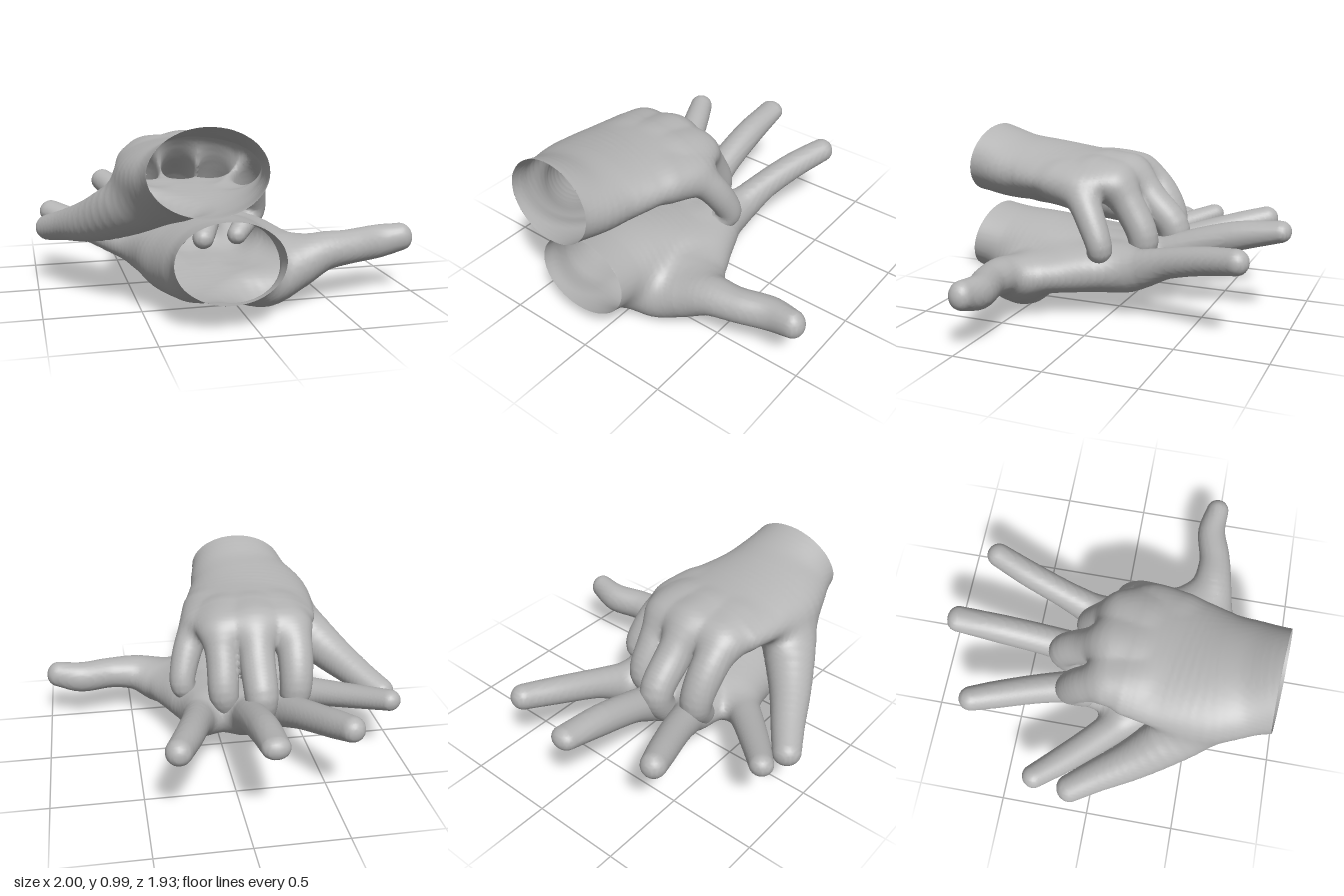
import * as THREE from 'three';

const skin = new THREE.MeshStandardMaterial({ color: 0xb4b4b4, side: THREE.DoubleSide });
skin.name = 'plain grey skin';

const X = new THREE.Vector3(1, 0, 0);
const Z = new THREE.Vector3(0, 0, 1);
const STEP = 0.016;

// Distance to a tapering limb through stations [x, y, z, half width, half height];
// "side" is the direction of its width.
function limb(stations, side = X) {
  const path = new THREE.CatmullRomCurve3(stations.map(s => new THREE.Vector3(s[0], s[1], s[2])));
  const size = new THREE.CatmullRomCurve3(stations.map(s => new THREE.Vector3(s[3], s[4] ?? s[3], 0)));
  const n = (stations.length - 1) * 5;
  const pts = path.getPoints(n), radii = size.getPoints(n);
  const thick = Math.max(...stations.map(s => Math.max(s[3], s[4] ?? 0)));
  const box = new THREE.Box3().setFromPoints(pts).expandByScalar(thick + 0.12);
  const segments = pts.slice(0, -1).map((from, i) => {
    const dir = pts[i + 1].clone().sub(from), length = dir.length();
    dir.divideScalar(length);
    const w = side.clone().addScaledVector(dir, -side.dot(dir)).normalize();
    return { from, dir, length, w, u: w.clone().cross(dir), r0: radii[i], r1: radii[i + 1] };
  });
  const q = new THREE.Vector3();
  return p => {
    if (!box.containsPoint(p)) return 1;
    let best = 1;
    for (const s of segments) {
      q.copy(p).sub(s.from);
      const along = q.dot(s.dir), t = Math.min(Math.max(along / s.length, 0), 1);
      const rw = s.r0.x + (s.r1.x - s.r0.x) * t, rh = s.r0.y + (s.r1.y - s.r0.y) * t;
      const rd = Math.min(rw, rh);
      const a = (along - t * s.length) / rd, b = q.dot(s.w) / rw, c = q.dot(s.u) / rh;
      const k0 = Math.hypot(a, b, c), k1 = Math.hypot(a / rd, b / rw, c / rh);
      best = Math.min(best, k1 < 1e-6 ? -rd : k0 * (k0 - 1) / k1);
    }
    return best;
  };
}

// Smooth union of two distances
function blend(a, b, k) {
  const h = Math.max(k - Math.abs(a - b), 0) / k;
  return Math.min(a, b) - h * h * k / 4;
}

// One seamless skin: the body limbs melt together, each finger melts into the body,
// and the wrist is cut open by a plane.
function handSkin(name, body, fingers, box, cutPoint, cutNormal) {
  const field = p => {
    const base = body.map(f => f(p)).reduce((a, b) => blend(a, b, 0.1));
    return fingers.reduce((d, f) => Math.min(d, blend(base, f(p), 0.07)), base);
  };
  const dims = box.getSize(new THREE.Vector3()).divideScalar(STEP).ceil().toArray().map(n => n + 1);
  const stride = [1, dims[0], dims[0] * dims[1]];
  const at = (i, j, k) => i + j * stride[1] + k * stride[2];
  const eachCell = (from, trim, visit) => {
    for (let k = from; k < dims[2] - trim; k++)
      for (let j = from; j < dims[1] - trim; j++)
        for (let i = from; i < dims[0] - trim; i++) visit(i, j, k, at(i, j, k));
  };
  const values = new Float32Array(dims[0] * dims[1] * dims[2]);
  const p = new THREE.Vector3(), g = new THREE.Vector3();
  eachCell(0, 0, (i, j, k, id) => {
    values[id] = field(p.set(i, j, k).multiplyScalar(STEP).add(box.min));
  });

  // One skin point in each grid cell that the surface crosses
  const points = [], beyond = [], pointOf = new Map();
  eachCell(0, 1, (i, j, k, id) => {
    const sum = [0, 0, 0];
    let hits = 0;
    for (let corner = 0; corner < 8; corner++) {
      const o = [corner & 1, corner >> 1 & 1, corner >> 2];
      const a = values[id + at(...o)];
      for (let axis = 0; axis < 3; axis++) {
        if (o[axis]) continue;
        const b = values[id + at(...o) + stride[axis]];
        if (a < 0 === b < 0) continue;
        for (let m = 0; m < 3; m++) sum[m] += o[m];
        sum[axis] += a / (a - b);
        hits++;
      }
    }
    if (!hits) return;
    p.set(i + sum[0] / hits, j + sum[1] / hits, k + sum[2] / hits).multiplyScalar(STEP).add(box.min);
    // Settle the point on the surface
    const d = field(p), e = 0.002;
    g.fromArray(['x', 'y', 'z'].map(m => {
      p[m] += e;
      const slope = (field(p) - d) / e;
      p[m] -= e;
      return slope;
    }));
    p.addScaledVector(g, -d / Math.max(g.lengthSq(), 0.5));
    const past = g.copy(p).sub(cutPoint).dot(cutNormal);
    if (past > 0) p.addScaledVector(cutNormal, -past);
    pointOf.set(id, beyond.length);
    beyond.push(past > 0);
    points.push(p.x, p.y, p.z);
  });

  // A quad across each grid edge that the surface crosses
  const index = [];
  eachCell(1, 1, (i, j, k, id) => {
    for (let axis = 0; axis < 3; axis++) {
      const inside = values[id] < 0;
      if (inside === values[id + stride[axis]] < 0) continue;
      const b = stride[(axis + 1) % 3], c = stride[(axis + 2) % 3];
      const quad = [id - b - c, id - c, id, id - b].map(n => pointOf.get(n));
      if (quad.every(n => beyond[n])) continue;
      if (!inside) quad.reverse();
      index.push(quad[0], quad[1], quad[2], quad[0], quad[2], quad[3]);
    }
  });
  const geo = new THREE.BufferGeometry();
  geo.setAttribute('position', new THREE.Float32BufferAttribute(points, 3));
  geo.setIndex(index);
  geo.computeVertexNormals();
  const mesh = new THREE.Mesh(geo, skin);
  mesh.name = name;
  return mesh;
}

// Open hand, palm up, fingers fanned away from the wrist
function lowerHand() {
  const palm = limb([
    [-0.12, 0.39, 1.1, 0.28, 0.2], [-0.12, 0.335, 0.865, 0.28, 0.2], [-0.12, 0.305, 0.7, 0.285, 0.205],
    [-0.12, 0.285, 0.5, 0.32, 0.21], [-0.12, 0.275, 0.3, 0.37, 0.185],
    [-0.11, 0.27, 0.1, 0.375, 0.15], [-0.11, 0.28, -0.08, 0.32, 0.135],
  ]);
  const heel = limb([
    [-0.27, 0.245, 0.62, 0.14, 0.14], [-0.32, 0.225, 0.42, 0.15, 0.14], [-0.36, 0.235, 0.2, 0.14, 0.12],
  ]);
  const thumb = limb([
    [0.0, 0.205, 0.6, 0.16, 0.14], [0.13, 0.155, 0.54, 0.17, 0.15], [0.3, 0.205, 0.51, 0.15, 0.135],
    [0.46, 0.265, 0.51, 0.115, 0.105], [0.62, 0.28, 0.5, 0.092, 0.092],
    [0.8, 0.287, 0.455, 0.083, 0.092], [0.935, 0.31, 0.47, 0.068, 0.077],
  ], Z);
  const thumbWeb = limb([
    [0.1, 0.275, -0.04, 0.11, 0.1], [0.16, 0.265, 0.1, 0.13, 0.11],
    [0.23, 0.25, 0.26, 0.14, 0.11], [0.29, 0.24, 0.4, 0.14, 0.1],
  ]);
  const index = limb([
    [0.08, 0.27, 0.1, 0.11, 0.11], [0.14, 0.28, -0.12, 0.1, 0.115], [0.2, 0.365, -0.36, 0.08, 0.085],
    [0.265, 0.42, -0.58, 0.077], [0.335, 0.455, -0.77, 0.07],
  ]);
  const middle = limb([
    [-0.11, 0.27, 0.05, 0.11, 0.11], [-0.11, 0.285, -0.15, 0.1, 0.115], [-0.115, 0.39, -0.4, 0.088],
    [-0.12, 0.465, -0.65, 0.083], [-0.12, 0.515, -0.9, 0.075, 0.06],
  ]);
  const ring = limb([
    [-0.25, 0.27, 0.1, 0.11, 0.11], [-0.31, 0.285, -0.1, 0.098, 0.105], [-0.4, 0.37, -0.36, 0.084],
    [-0.5, 0.44, -0.6, 0.077], [-0.555, 0.475, -0.725, 0.069],
  ]);
  const little = limb([
    [-0.33, 0.26, 0.27, 0.12, 0.12], [-0.48, 0.265, 0.12, 0.1, 0.095], [-0.62, 0.3, -0.01, 0.088, 0.078],
    [-0.78, 0.345, -0.17, 0.077, 0.068], [-0.905, 0.385, -0.305, 0.065, 0.06],
  ]);
  return handSkin('lowerHand', [palm, heel, thumb, thumbWeb], [index, middle, ring, little],
    new THREE.Box3(new THREE.Vector3(-1.06, -0.05, -1.04), new THREE.Vector3(1.06, 0.66, 0.96)),
    new THREE.Vector3(-0.12, 0.335, 0.865), new THREE.Vector3(0, 0.18, 0.98).normalize());
}

// Hand laid over it, palm down, fingers curled into the lower palm
function upperHand() {
  const palm = limb([
    [-0.25, 0.83, 1.15, 0.28, 0.22], [-0.245, 0.79, 0.925, 0.285, 0.21], [-0.245, 0.75, 0.75, 0.32, 0.192],
    [-0.255, 0.735, 0.57, 0.36, 0.178], [-0.22, 0.735, 0.35, 0.38, 0.15],
    [-0.195, 0.74, 0.15, 0.37, 0.135], [-0.195, 0.735, 0.03, 0.32, 0.125],
  ]);
  const thumb = limb([
    [-0.38, 0.66, 0.64, 0.18, 0.15], [-0.54, 0.56, 0.46, 0.155, 0.15], [-0.715, 0.44, 0.23, 0.115, 0.115],
    [-0.84, 0.375, 0.03, 0.09, 0.085], [-0.925, 0.335, -0.1, 0.077, 0.072],
  ]);
  const index = limb([
    [-0.37, 0.73, 0.17, 0.11, 0.11], [-0.4, 0.72, 0.01, 0.105], [-0.4, 0.59, -0.13, 0.098],
    [-0.39, 0.43, -0.19, 0.088], [-0.38, 0.32, -0.12, 0.07],
  ]);
  const middle = limb([
    [-0.2, 0.755, 0.14, 0.11, 0.1], [-0.19, 0.745, 0, 0.103], [-0.18, 0.61, -0.13, 0.1],
    [-0.18, 0.45, -0.268, 0.093], [-0.19, 0.32, -0.22, 0.078], [-0.2, 0.24, -0.11, 0.065],
  ]);
  const ring = limb([
    [-0.04, 0.74, 0.16, 0.11, 0.1], [0, 0.715, 0.03, 0.1], [0.005, 0.58, -0.08, 0.092],
    [0.01, 0.42, -0.15, 0.085], [-0.02, 0.305, -0.1, 0.072], [-0.06, 0.24, -0.01, 0.062],
  ]);
  const little = limb([
    [0.05, 0.71, 0.34, 0.11, 0.1], [0.135, 0.665, 0.18, 0.09], [0.2, 0.53, 0.08, 0.08],
    [0.22, 0.4, 0.03, 0.07], [0.16, 0.34, 0.08, 0.063], [0.1, 0.29, 0.14, 0.055],
  ]);
  return handSkin('upperHand', [palm, thumb], [index, middle, ring, little],
    new THREE.Box3(new THREE.Vector3(-1.06, 0.13, -0.42), new THREE.Vector3(0.36, 1.08, 1.06)),
    new THREE.Vector3(-0.245, 0.79, 0.925), new THREE.Vector3(-0.08, 0.16, 0.98).normalize());
}

export function createModel() {
  const model = new THREE.Group();
  model.name = 'pairOfHands';
  model.add(lowerHand(), upperHand());
  return model;
}
